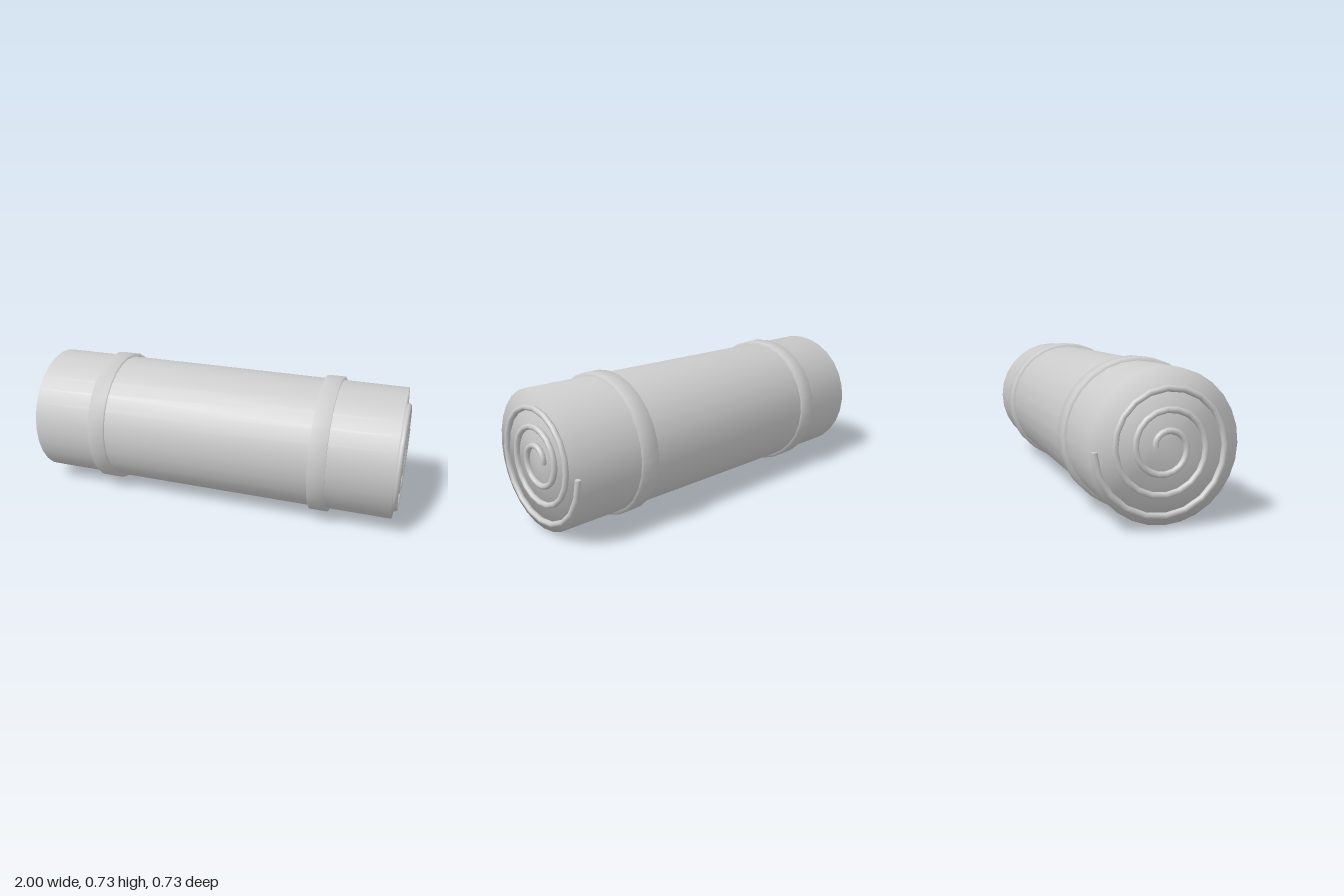
import * as THREE from 'three';

const SIDES = 28;
const CENTER_Y = 0.3625;
const BODY_R = 0.344, BODY_HALF = 0.975;
const BAND_R = 0.3625, BAND_HALF = 0.044;

// Flat spiral lying on an end face, wound in the y/-z plane
class Spiral extends THREE.Curve {
  constructor(x, inner, outer, turns) {
    super();
    Object.assign(this, { x, inner, outer, turns });
  }
  getPoint(t, target = new THREE.Vector3()) {
    const a = t * this.turns * Math.PI * 2;
    const r = this.inner + (this.outer - this.inner) * t;
    return target.set(this.x, r * Math.sin(a), -r * Math.cos(a));
  }
  // equal angle steps instead of equal lengths
  getPointAt(t, target) { return this.getPoint(t, target); }
  getTangentAt(t, target) { return this.getTangent(t, target); }
}

// Turned part with its axis along x; profile is [radius, x] pairs
function turned(name, profile, material) {
  const geo = new THREE.LatheGeometry(profile.map(([r, x]) => new THREE.Vector2(r, x)), SIDES);
  geo.rotateZ(-Math.PI / 2);
  const mesh = new THREE.Mesh(geo, material);
  mesh.name = name;
  return mesh;
}

export function createModel() {
  const model = new THREE.Group();
  model.name = 'bedroll';
  const grey = new THREE.MeshStandardMaterial({ color: 0xcccccc });
  grey.name = 'light grey';

  const roll = new THREE.Group();
  roll.name = 'roll';
  roll.position.y = CENTER_Y;
  model.add(roll);

  // Rolled mat
  roll.add(turned('mat', [
    [0, -BODY_HALF], [BODY_R, -BODY_HALF], [BODY_R, BODY_HALF], [0, BODY_HALF],
  ], grey));

  for (const side of [-1, 1]) {
    const label = side > 0 ? 'left' : 'right';

    // Strap around the mat
    const strap = turned(label + 'Strap', [
      [0.33, -BAND_HALF], [BAND_R, -BAND_HALF], [BAND_R, BAND_HALF], [0.33, BAND_HALF],
    ], grey);
    strap.position.x = side * 0.6;
    roll.add(strap);

    // Raised spiral showing the rolled layers, with closed ends
    const tubeR = 0.0145;
    const path = new Spiral(side * (1 - tubeR), 0.048, 0.322, 3);
    const spiral = new THREE.Mesh(new THREE.TubeGeometry(path, 60, tubeR, 8), grey);
    spiral.name = label + 'Spiral';
    for (const t of [0, 1]) {
      const cap = new THREE.Mesh(new THREE.CircleGeometry(tubeR, 8), grey);
      cap.name = t ? 'spiralOuterEnd' : 'spiralInnerEnd';
      const outward = path.getTangent(t).multiplyScalar(t ? 1 : -1);
      cap.position.copy(path.getPoint(t));
      cap.quaternion.setFromUnitVectors(new THREE.Vector3(0, 0, 1), outward);
      spiral.add(cap);
    }
    roll.add(spiral);
  }
  return model;
}
